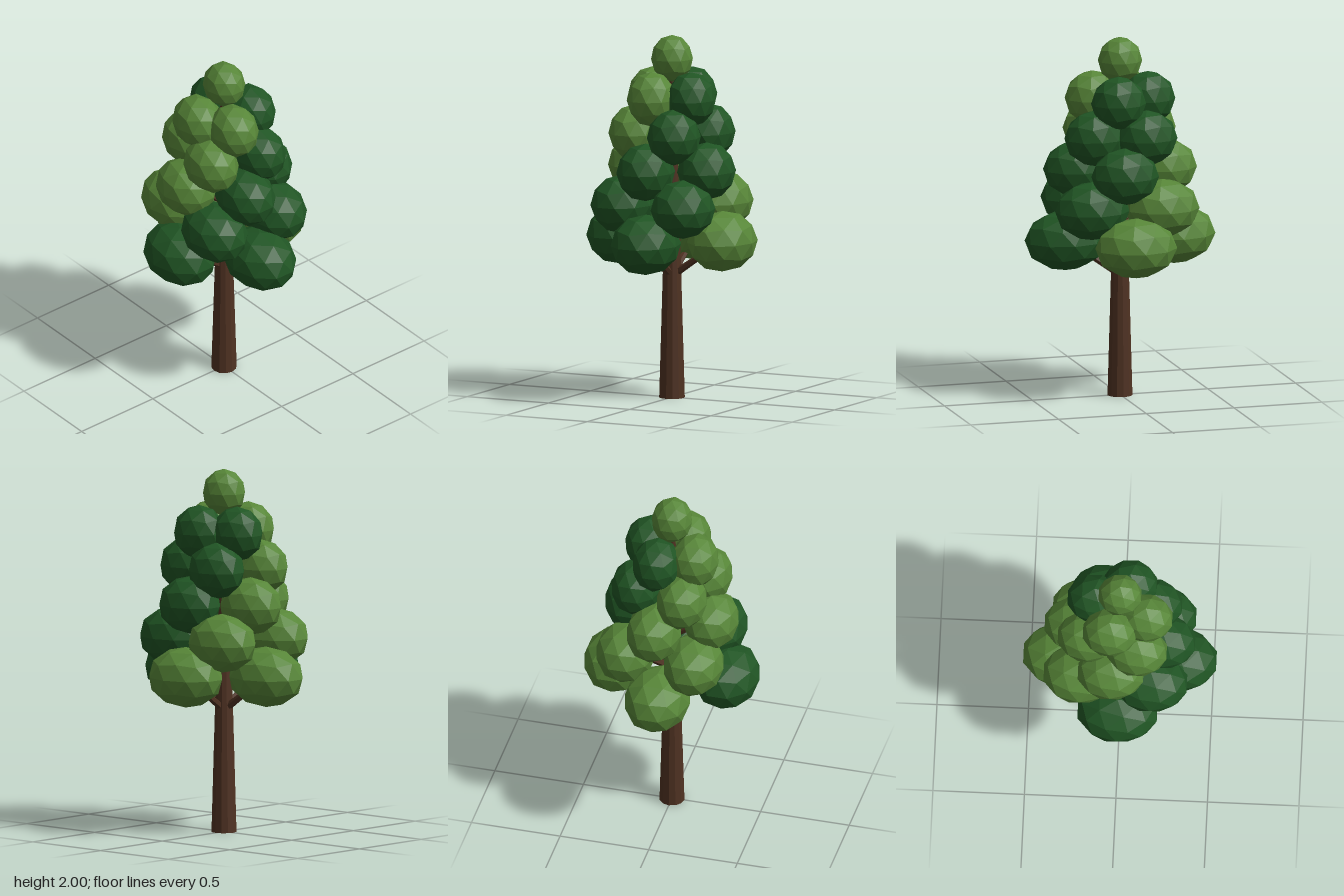
import * as THREE from 'three';

export function createModel() {
  const tree = new THREE.Group();
  tree.name = 'tree';

  const bark = new THREE.MeshStandardMaterial({ color: 0x4f3222, flatShading: true });
  bark.name = 'bark';
  const lightLeaf = new THREE.MeshStandardMaterial({ color: 0x578638, flatShading: true });
  lightLeaf.name = 'light leaf';
  const darkLeaf = new THREE.MeshStandardMaterial({ color: 0x205524, flatShading: true });
  darkLeaf.name = 'dark leaf';

  // Faceted ball with a pole on the y axis and an upper-ring corner towards +x
  const ball = new THREE.IcosahedronGeometry(1, 1);
  ball.rotateX(-Math.atan2((1 + Math.sqrt(5)) / 2, 1));
  ball.rotateY(Math.PI / 2);

  function addClump(name, material, position, scale) {
    const clump = new THREE.Mesh(ball, material);
    clump.name = name;
    clump.position.copy(position);
    clump.scale.set(...scale);
    tree.add(clump);
  }

  // Tapered limb between two points
  function addLimb(name, from, to, r0, r1, sides) {
    const dir = to.clone().sub(from);
    const geometry = new THREE.CylinderGeometry(r1, r0, dir.length(), sides);
    const limb = new THREE.Mesh(geometry, bark);
    limb.name = name;
    limb.position.copy(from).addScaledVector(dir, 0.5);
    limb.quaternion.setFromUnitVectors(new THREE.Vector3(0, 1, 0), dir.normalize());
    tree.add(limb);
  }

  addLimb('trunk', new THREE.Vector3(0, 0, 0), new THREE.Vector3(0, 1.75, 0), 0.07, 0.02, 12);

  // Tiers of four clumps, each tier turned a little further: [y, ring radius, clump radii]
  const tiers = [
    [0.883, 0.31, [0.228, 0.167, 0.183]],
    [1.077, 0.275, [0.208, 0.162, 0.168]],
    [1.27, 0.237, [0.188, 0.159, 0.153]],
    [1.465, 0.2, [0.17, 0.155, 0.141]],
    [1.66, 0.152, [0.152, 0.151, 0.132]],
  ];
  tiers.forEach(([y, ring, radii], tier) => {
    for (let i = 0; i < 4; i++) {
      const angle = i * Math.PI / 2 - tier * 0.7;
      const c = Math.cos(angle), s = Math.sin(angle);
      const centre = new THREE.Vector3(ring * c, y, ring * s);
      addClump('leafClump', i < 2 ? darkLeaf : lightLeaf, centre, radii);
      // Branch reaching from the trunk into the clump
      const root = new THREE.Vector3(0.015 * c, y - 0.2 + tier * 0.02, 0.015 * s);
      addLimb('branch', root, centre, 0.022, 0.012, 6);
    }
  });

  addClump('crownTop', lightLeaf, new THREE.Vector3(0, 1.87, 0), [0.122, 0.13, 0.113]);

  return tree;
}
